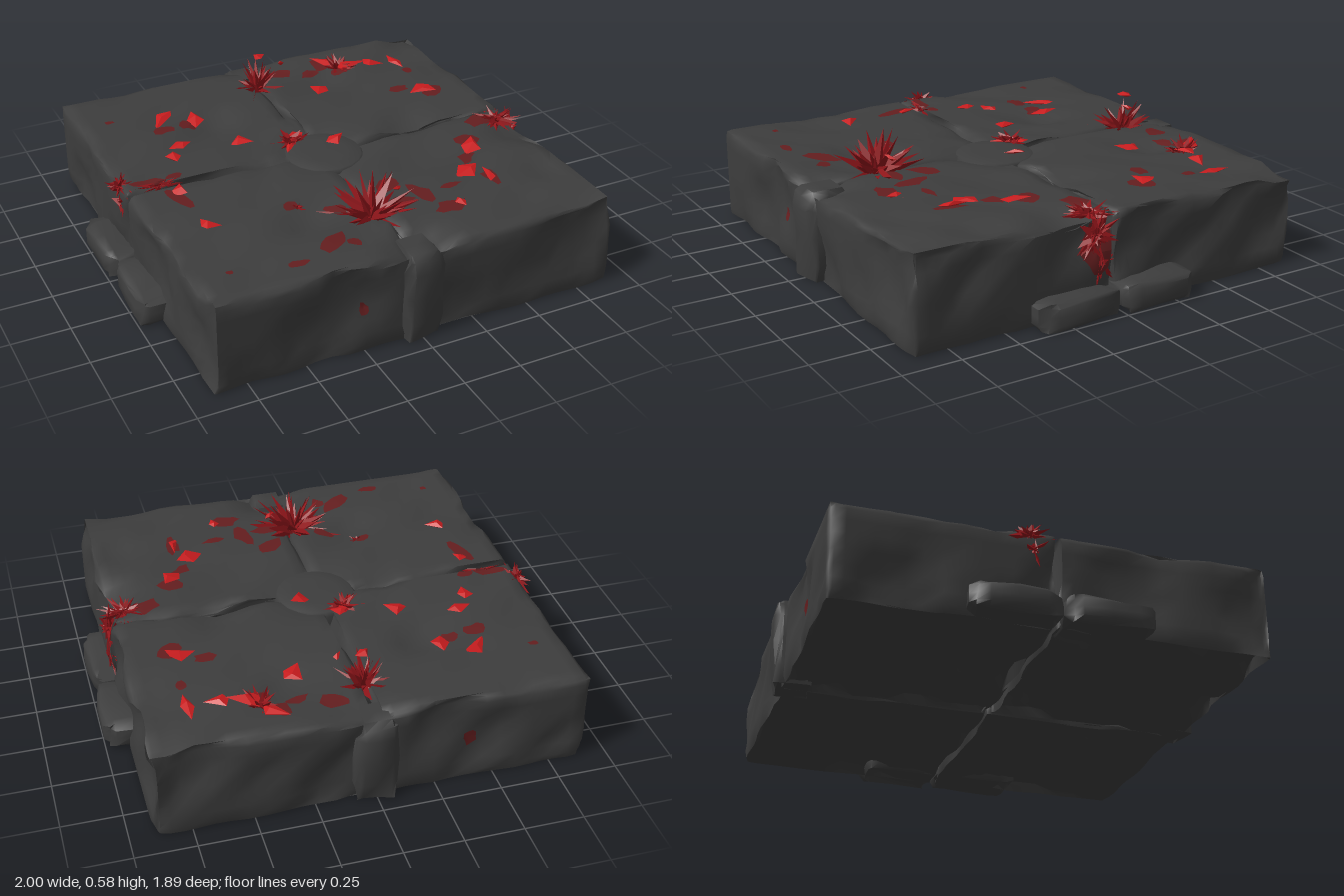
import * as THREE from 'three';
import { mergeVertices, mergeGeometries, toCreasedNormals } from 'three/addons/utils/BufferGeometryUtils.js';

const V = (x, y, z) => new THREE.Vector3(x, y, z);
const UP = V(0, 1, 0);

function seeded(seed) {
  let s = seed * 7919 + 17;
  return () => (s = (s * 16807) % 2147483647) / 2147483647;
}

// Worn dips in the top of the blocks: x, z, radius, depth
const hollows = [
  [0, 0.01, 0.27, 0.035], [0, 0.86, 0.18, 0.045], [0, -0.92, 0.15, 0.03], [0.9, 0.22, 0.18, 0.04],
  [-0.3, 0.02, 0.12, 0.025], [0.45, -0.03, 0.14, 0.025], [-0.33, -0.45, 0.14, 0.03], [0.86, -0.88, 0.14, 0.04],
  [-0.3, 0.5, 0.12, 0.025], [0.78, 0.55, 0.13, 0.025], [0.3, -0.6, 0.12, 0.025],
];

// Box between two corners with chamfered edges and soft dents pressed into each face
function rockGeometry(min, max, seed, dents, segments, worn) {
  let geo = new THREE.BoxGeometry(2, 2, 2, ...segments);
  geo.deleteAttribute('normal');
  geo.deleteAttribute('uv');
  geo = mergeVertices(geo);
  const pos = geo.attributes.position;
  for (let i = 0; i < pos.count; i++) {
    const t = [pos.getX(i), pos.getY(i), pos.getZ(i)];
    const extreme = t.map((c) => Math.abs(c) > 0.999);
    const onEdge = extreme.filter(Boolean).length > 1;
    // crowd the grid towards the edges so the chamfers stay narrow
    const p = t.map((c, k) => {
      const w = Math.sign(c) * (1 - Math.pow(1 - Math.abs(c), 1.35));
      return min[k] + (max[k] - min[k]) * (w + 1) / 2;
    });
    const q = p.slice();
    for (let k = 0; k < 3; k++) {
      if (!extreme[k]) continue;
      const side = Math.sign(t[k]);
      const u = p[(k + 1) % 3], v = p[(k + 2) % 3], f = seed * 2.3 + k * 1.7 + side;
      const n = Math.sin(u * 9 + f) + Math.sin(v * 11 - u * 5 + f * 2) + 0.7 * Math.sin(u * 19 + v * 16 + f * 3);
      const bottom = k === 1 && side < 0;
      let inset = dents[bottom ? 3 : k] * Math.min(1.5, Math.max(0, n));
      if (onEdge) {
        const row = (max[k] - min[k]) / 2 * Math.pow(2 / segments[k], 1.35);
        inset = bottom ? 0 : inset * 0.7 + worn * row * (1 + 0.5 * Math.sin(u * 21 + v * 13 + f));
      }
      q[k] -= side * inset;
    }
    if (t[1] > 0.999) {
      for (const [x, z, r, depth] of hollows) {
        const d = Math.hypot(p[0] - x, p[2] - z) / r;
        if (d < 1 && max[1] > 0.4) q[1] -= depth * (1 - d * d) ** 2;
      }
    }
    pos.setXYZ(i, ...q);
  }
  return toCreasedNormals(geo, 1.05);
}

// Faceted spikes whose tips fill an ellipsoid around a root point
function spikeGeometry(root, extent, count, lowest, width, seed) {
  const rnd = seeded(seed), parts = [];
  for (let i = 0; i < count; i++) {
    const a = i * 2.4 + rnd() * 0.8;
    const y = lowest + (1 - lowest) * Math.pow(rnd(), 0.9);
    const r = Math.sqrt(Math.max(0, 1 - y * y));
    const tip = V(Math.cos(a) * r * extent[0], y * extent[1], Math.sin(a) * r * extent[2]).multiplyScalar(0.6 + 0.5 * rnd());
    const length = tip.length();
    const g = new THREE.ConeGeometry(width * (0.7 + 0.6 * rnd()), length, 3, 1).toNonIndexed();
    g.scale(1, 1, 0.6).rotateY(rnd() * 6).translate(0, length / 2, 0);
    g.applyQuaternion(new THREE.Quaternion().setFromUnitVectors(UP, tip.normalize()));
    g.translate(...root);
    g.computeVertexNormals();
    parts.push(g);
  }
  return mergeGeometries(parts);
}

export function createModel() {
  const model = new THREE.Group();
  const mat = (name, color) => Object.assign(new THREE.MeshStandardMaterial({ color }), { name });
  const stone = mat('dark stone', 0x3d3d3d);
  const crimson = mat('crimson spikes', 0x90151a);
  const red = mat('bright red shards', 0xc81c1e);
  const stainRed = mat('dull red stains', 0x641e1f);

  const rocks = [];
  const add = (name, geo, material, parent = model) => {
    const m = new THREE.Mesh(geo, material);
    m.name = name;
    parent.add(m);
    return m;
  };
  const rock = (name, min, max, ...shape) => rocks.push(add(name, rockGeometry(min, max, ...shape), stone));

  // Four big blocks
  const big = [0.022, 0.01, 0.022, 0.03], grid = [16, 8, 16];
  rock('backLeftBlock', [-0.9, 0, -0.9], [-0.005, 0.402, 0.003], 1, big, grid, 0.35);
  rock('backRightBlock', [-0.015, 0, -0.91], [0.905, 0.402, 0.003], 2, big, grid, 0.35);
  rock('frontLeftBlock', [-0.9, 0, -0.005], [-0.01, 0.402, 0.905], 3, big, grid, 0.35);
  rock('frontRightBlock', [-0.02, 0, -0.005], [0.905, 0.402, 0.905], 4, big, grid, 0.35);

  // Low stones along the sides, tall stones filling the front and back joints
  const small = [0.01, 0.01, 0.012, 0.02], few = [4, 4, 4];
  rock('leftBackFootStone', [-1, 0, -0.37], [-0.76, 0.118, 0.005], 5, small, few, 0.4);
  rock('leftFrontFootStone', [-1, 0, 0], [-0.76, 0.118, 0.38], 6, small, few, 0.4);
  rock('rightBackFootStone', [0.76, 0, -0.36], [1, 0.118, 0], 7, small, few, 0.4);
  rock('rightFrontFootStone', [0.76, 0, 0.01], [1, 0.118, 0.39], 8, small, few, 0.4);
  rock('frontJointStone', [-0.09, 0, 0.73], [0.1, 0.39, 0.945], 9, small, few, 0.5);
  rock('backJointStone', [-0.09, 0, -0.95], [0.095, 0.385, -0.76], 10, small, few, 0.5);

  // Round stone in the middle
  const profile = [[0, 0.03], [0.14, 0.04], [0.175, 0.12], [0.185, 0.3], [0.18, 0.375], [0.165, 0.392], [0.1, 0.398], [0, 0.4]]
    .map(([r, y]) => new THREE.Vector2(r, y));
  rocks.push(add('centreStone', new THREE.LatheGeometry(profile, 18).translate(0, 0, 0.01), stone));

  // Drop a point onto the rocks along a face direction
  const ray = new THREE.Raycaster();
  const onRock = (point, normal) => {
    ray.set(point.clone().addScaledVector(normal, 0.4), normal.clone().negate());
    const hits = ray.intersectObjects(rocks, false);
    return hits.length ? hits[0].point : point.clone();
  };

  // Stains: thin irregular patches following the stone
  const stains = new THREE.Group();
  stains.name = 'stains';
  model.add(stains);
  const stain = (x, y, z, rx, ry, turn, normal) => {
    const rnd = seeded(Math.round((x + 2) * 100 + (z + 2) * 1000));
    const lobes = Array.from({ length: 10 }, () => 0.65 + 0.55 * rnd());
    const geo = new THREE.RingGeometry(0.001, 1, 10, 3);
    const q = new THREE.Quaternion().setFromUnitVectors(V(0, 0, 1), normal);
    const pos = geo.attributes.position, centre = V(x, y, z);
    for (let i = 0; i < pos.count; i++) {
      const k = lobes[i % 11 % 10];
      const p = V(pos.getX(i) * rx * k, pos.getY(i) * ry * k, 0).applyAxisAngle(V(0, 0, 1), turn);
      const hit = onRock(p.applyQuaternion(q).add(centre), normal).addScaledVector(normal, 0.006);
      pos.setXYZ(i, hit.x, hit.y, hit.z);
    }
    geo.computeVertexNormals();
    add('stain', geo, stainRed, stains);
  };
  [
    [0.14, -0.76, 0.08, 0.05, 0], [0.27, -0.7, 0.05, 0.03, 0.4], [0.35, -0.76, 0.05, 0.05, 1],
    [-0.56, -0.46, 0.05, 0.04, 0.5], [-0.44, -0.47, 0.04, 0.04, 0], [0.56, -0.35, 0.06, 0.03, 0],
    [0.7, -0.28, 0.06, 0.05, 0.8], [0.7, -0.51, 0.03, 0.03, 0], [-0.76, -0.62, 0.025, 0.015, 0],
    [-0.78, -0.05, 0.08, 0.03, -0.2], [-0.67, -0.05, 0.05, 0.02, 0], [-0.72, 0.13, 0.03, 0.09, 0.3],
    [-0.32, 0.37, 0.04, 0.03, 0.7], [0.1, 0.41, 0.08, 0.04, 0.8], [0.2, 0.52, 0.04, 0.08, 0.2],
    [0.25, 0.67, 0.07, 0.05, 0.1], [0.08, 0.55, 0.07, 0.03, 0], [-0.3, 0.7, 0.09, 0.04, 0.7],
    [-0.17, 0.47, 0.05, 0.03, -0.6], [0.34, 0.52, 0.06, 0.02, 0.1], [0.41, -0.66, 0.05, 0.04, 0],
    [-0.48, 0.78, 0.05, 0.025, 0], [-0.74, 0.72, 0.015, 0.015, 0], [0.74, 0.08, 0.07, 0.05, 0.3],
    [0.6, 0.22, 0.05, 0.06, 0.6], [0.53, 0.33, 0.06, 0.03, 0.6], [0.53, 0.53, 0.03, 0.07, 0],
    [-0.21, 0.73, 0.03, 0.04, 0],
  ].forEach(([x, z, rx, rz, turn]) => stain(x, 0.4, z, rx, rz, turn, UP));
  stain(-0.25, 0.19, 0.9, 0.022, 0.032, 0.2, V(0, 0, 1));
  stain(-0.4, 0.19, -0.9, 0.035, 0.04, 0, V(0, 0, -1));
  stain(0.9, 0.25, 0.09, 0.07, 0.12, 0, V(1, 0, 0));

  // Spike clusters: name, root, extent, count, lowest direction, width
  [
    ['frontSpikes', [-0.05, 0.375, 0.56], [0.22, 0.2, 0.21], 46, 0.06, 0.036],
    ['backSpikes', [-0.01, 0.38, -0.68], [0.13, 0.15, 0.15], 40, 0.05, 0.025],
    ['leftEdgeSpikes', [-0.89, 0.38, -0.11], [0.07, 0.06, 0.11], 32, -0.6, 0.022],
    ['leftWallSpikes', [-0.89, 0.32, -0.09], [0.04, 0.09, 0.07], 18, -1, 0.022],
    ['rightEdgeSpikes', [0.83, 0.385, 0.08], [0.13, 0.05, 0.13], 46, -0.1, 0.024],
    ['rightUpperWallSpikes', [0.893, 0.32, 0.09], [0.04, 0.12, 0.11], 46, -1, 0.028],
    ['rightLowerWallSpikes', [0.893, 0.2, 0.07], [0.035, 0.12, 0.08], 30, -1, 0.026],
    ['centreSpikes', [-0.09, 0.39, -0.13], [0.1, 0.05, 0.1], 22, 0, 0.024],
    ['backRightSpikes', [0.42, 0.385, -0.7], [0.1, 0.08, 0.12], 22, 0.05, 0.025],
    ['leftJointSpikes', [-0.74, 0.388, -0.03], [0.14, 0.03, 0.035], 24, 0, 0.017],
    ['frontLeftSpikes', [-0.3, 0.385, 0.38], [0.05, 0.03, 0.05], 7, 0, 0.015],
    ['frontRightSpikes', [0.31, 0.385, 0.66], [0.05, 0.04, 0.04], 7, 0, 0.015],
  ].forEach(([name, ...args], i) => add(name, spikeGeometry(...args, i + 3), crimson));

  // Loose shards lying on the stone, plus a few flung into the air
  const shards = new THREE.Group();
  shards.name = 'shards';
  model.add(shards);
  const shard = (x, z, length, width, turn, y) => {
    const geo = new THREE.OctahedronGeometry(1, 0);
    const pos = geo.attributes.position, f = x * 9 + z * 5;
    for (let i = 0; i < pos.count; i++) {
      const [a, b, c] = [pos.getX(i), pos.getY(i), pos.getZ(i)];
      pos.setXYZ(i, a + 0.35 * Math.sin(f + c * 3 + b), b + 0.3 * Math.sin(f + a * 2), c + 0.4 * Math.sin(f * 2 + a * 4));
    }
    geo.scale(length, 0.012, width).rotateZ(0.15 * Math.sin(f * 3)).rotateY(turn);
    geo.computeVertexNormals();
    const m = add('shard', geo, red, shards);
    m.position.set(x, y ?? onRock(V(x, 0.4, z), UP).y + 0.01, z);
  };
  [
    [-0.52, -0.57, 0.085, 0.035, 0.9], [-0.4, -0.5, 0.065, 0.04, 1.2], [-0.55, -0.29, 0.055, 0.035, 0],
    [-0.61, -0.2, 0.045, 0.035, 1.2], [-0.3, -0.21, 0.05, 0.045, -0.4], [0.25, -0.53, 0.055, 0.05, 0.6],
    [0.46, -0.69, 0.08, 0.045, -0.5], [0.38, -0.76, 0.07, 0.035, -1], [0.57, -0.65, 0.05, 0.04, 0],
    [0.7, -0.64, 0.08, 0.028, 1.5], [0.67, -0.31, 0.055, 0.055, 0.5], [0.08, -0.05, 0.045, 0.042, 0],
    [-0.09, -0.12, 0.08, 0.03, 1], [-0.06, -0.16, 0.06, 0.03, 0.3], [-0.7, 0.08, 0.04, 0.034, 0.8],
    [-0.69, 0.38, 0.042, 0.04, 0], [0.58, 0.27, 0.065, 0.045, 0.7], [0.47, 0.43, 0.065, 0.055, 0.1],
    [0.52, 0.53, 0.06, 0.018, 1.4], [0.31, 0.66, 0.035, 0.024, 1.4],
    [0, -0.68, 0.035, 0.03, 0.3, 0.55], [0.09, -0.64, 0.025, 0.012, 1, 0.52], [0.07, 0.55, 0.03, 0.012, 0.4, 0.48],
  ].forEach((s) => shard(...s));

  return model;
}
